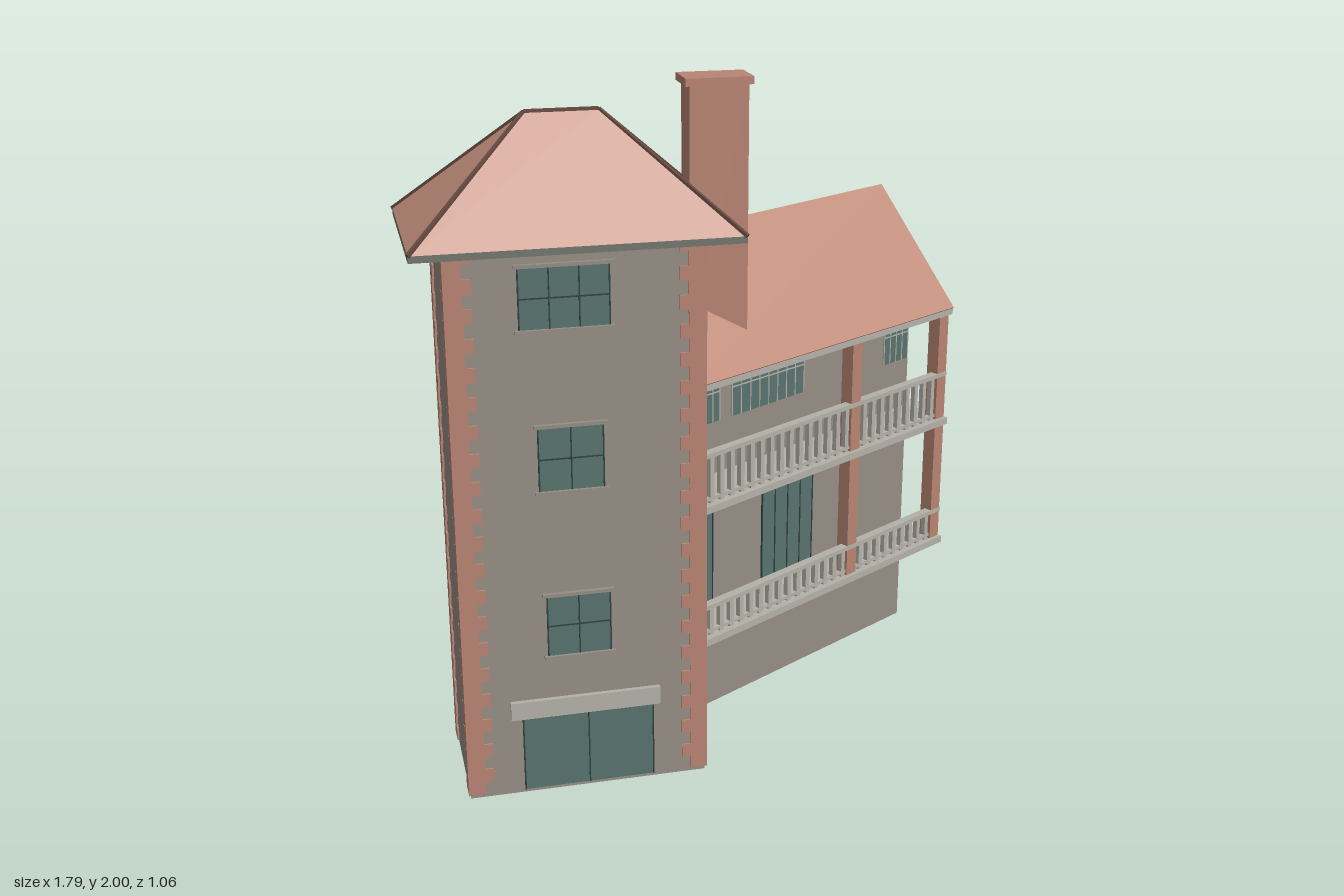
import * as THREE from 'three';

const mat = (name, color, side = THREE.FrontSide) => {
  const m = new THREE.MeshStandardMaterial({ color, side });
  m.name = name;
  return m;
};

export function createModel() {
  const stone = mat('stone wall', 0x968e86);
  const tile = mat('roof tile', 0xbf8c79);
  const brick = mat('brick', 0xb88473);
  const pale = mat('pale concrete', 0xb4b1a8);
  const glass = mat('teal glass', 0x57736e);
  const dark = mat('dark frame', 0x30413e);
  const hipMat = mat('hip trim', 0x664a40);
  const eave = mat('eave grey', 0x72756e);

  const model = new THREE.Group();
  model.name = 'towerHouse';

  const group = (name, parent = model) => {
    const g = new THREE.Group();
    g.name = name;
    parent.add(g);
    return g;
  };
  // Box given by its minimum and maximum corners
  const box = (parent, name, m, x0, x1, y0, y1, z0, z1) => {
    const mesh = new THREE.Mesh(new THREE.BoxGeometry(x1 - x0, y1 - y0, z1 - z0), m);
    mesh.position.set((x0 + x1) / 2, (y0 + y1) / 2, (z0 + z1) / 2);
    mesh.name = name;
    parent.add(mesh);
    return mesh;
  };
  // Square bar between two points
  const bar = (parent, name, m, a, b, w) => {
    const mesh = new THREE.Mesh(new THREE.BoxGeometry(w, w, a.distanceTo(b)), m);
    mesh.position.copy(a).lerp(b, 0.5);
    mesh.lookAt(b);
    mesh.name = name;
    parent.add(mesh);
  };
  // Pane through a wall lying between zBack and zFront, with bars on both faces
  const paneWindow = (parent, name, x0, x1, y0, y1, zBack, zFront, cols, rows, barMat) => {
    const g = group(name, parent);
    const e = 0.003, t = 0.004;
    box(g, 'pane', glass, x0, x1, y0, y1, zBack - e, zFront + e);
    const zb = zBack - e * 1.6, zf = zFront + e * 1.6;
    for (let i = 0; i <= cols; i++) {
      const x = x0 + (x1 - x0) * i / cols;
      box(g, 'mullion', barMat, x - t / 2, x + t / 2, y0, y1, zb, zf);
    }
    for (let j = 1; j < rows; j++) {
      const y = y0 + (y1 - y0) * j / rows;
      box(g, 'transom', barMat, x0, x1, y - t / 2, y + t / 2, zb, zf);
    }
    return g;
  };

  // ---- Tower: hollow shell, open at the bottom ----
  const X0 = -0.8, X1 = -0.105, Z0 = 0.06, Z1 = 0.43, TOP = 1.635, T = 0.01;
  const tower = group('tower');
  box(tower, 'frontWall', stone, X0, X1, 0, TOP, Z1 - T, Z1);
  box(tower, 'backWall', stone, X0, X1, 0, TOP, Z0, Z0 + T);
  box(tower, 'sideWall', stone, X0, X0 + T, 0, TOP, Z0 + T, Z1 - T);
  box(tower, 'sideWall', stone, X1 - T, X1, 0, TOP, Z0 + T, Z1 - T);

  // Toothed corner stones, alternating long and short
  const quoins = group('cornerStones', tower);
  const ROWS = 40, rowH = (TOP - 0.012) / ROWS, out = 0.006;
  for (const sx of [-1, 1]) for (const sz of [-1, 1]) {
    const cx = sx < 0 ? X0 - out : X1 + out, cz = sz < 0 ? Z0 - out : Z1 + out;
    for (let i = 0; i < ROWS; i++) {
      const lx = i % 2 ? 0.075 : 0.05, lz = i % 2 ? 0.04 : 0.062;
      const ex = cx - sx * lx, ez = cz - sz * lz, y = 0.012 + i * rowH;
      // two plates wrapping the corner
      box(quoins, 'cornerStone', brick, Math.min(cx, ex), Math.max(cx, ex), y, y + rowH,
        Math.min(cz, cz - sz * T), Math.max(cz, cz - sz * T));
      box(quoins, 'cornerStone', brick, Math.min(cx, cx - sx * T), Math.max(cx, cx - sx * T), y, y + rowH,
        Math.min(ez, cz - sz * T), Math.max(ez, cz - sz * T));
    }
  }

  // Tower windows with head and sill ledges: [x0, x1, y0, y1, columns]
  const ledge = (g, x0, x1, y, zA, zB) => box(g, 'ledge', stone, x0 - 0.012, x1 + 0.012, y - 0.005, y + 0.005, zA, zB);
  for (const [x0, x1, y0, y1, c] of [
    [-0.61, -0.365, 1.4, 1.58, 3], [-0.57, -0.39, 0.935, 1.13, 2], [-0.56, -0.38, 0.43, 0.625, 2]]) {
    const g = paneWindow(tower, 'frontWindow', x0, x1, y0, y1, Z1 - T, Z1, c, 2, dark);
    for (const y of [y0, y1]) ledge(g, x0, x1, y, Z1, Z1 + 0.012);
  }
  for (const [y0, y1] of [[1.44, 1.59], [1.13, 1.29], [0.75, 0.91]]) {
    const g = paneWindow(tower, 'backWindow', -0.565, -0.375, y0, y1, Z0, Z0 + T, 2, 2, dark);
    for (const y of [y0, y1]) ledge(g, -0.565, -0.375, y, Z0 - 0.012, Z0);
  }
  // Entrance
  paneWindow(tower, 'door', -0.64, -0.26, 0.01, 0.245, Z1 - T, Z1, 2, 1, dark);
  box(tower, 'doorLintel', pale, -0.675, -0.24, 0.245, 0.3, Z1, Z1 + 0.014);

  // ---- Tower hip roof ----
  const roof = group('towerRoof');
  const RX = -0.4525, RZ = 0.2475, hw = 0.4425, hd = 0.2725, ridge = 0.1, EY = 1.647, RY = 1.95;
  box(roof, 'eaves', eave, RX - hw, RX + hw, 1.628, EY, RZ - hd, RZ + hd);
  const hip = new THREE.BoxGeometry(2 * hw, RY - EY, 2 * hd);
  const p = hip.attributes.position;
  for (let i = 0; i < p.count; i++) {
    if (p.getY(i) > 0) {
      p.setX(i, Math.sign(p.getX(i)) * ridge);
      p.setZ(i, Math.sign(p.getZ(i)) * 0.004);
    }
  }
  hip.computeVertexNormals();
  const hipMesh = new THREE.Mesh(hip, tile);
  hipMesh.name = 'hipRoof';
  hipMesh.position.set(RX, (EY + RY) / 2, RZ);
  roof.add(hipMesh);
  const ends = [-1, 1].map(s => new THREE.Vector3(RX + s * ridge, RY, RZ));
  bar(roof, 'ridgeCap', hipMat, ends[0], ends[1], 0.012);
  [-1, 1].forEach((sx, k) => {
    for (const sz of [-1, 1])
      bar(roof, 'hipCap', hipMat, new THREE.Vector3(RX + sx * hw, EY, RZ + sz * hd), ends[k], 0.011);
  });

  // ---- Chimney ----
  const chimney = group('chimney');
  box(chimney, 'chimneyShaft', brick, -0.072, 0.1, 1.16, 1.98, 0.012, 0.115);
  box(chimney, 'chimneyCap', brick, -0.085, 0.112, 1.978, 2, 0, 0.125);

  // ---- Wing, turned 30 degrees; its origin is the far end of the wall ----
  const wing = group('wing');
  wing.position.set(0.8, 0, -0.405);
  wing.rotation.y = Math.PI / 6;
  const L = -1.18, W = -0.02;
  box(wing, 'wingWall', stone, -1.06, 0, 0, 1.15, W, 0);
  for (const y of [0.346, 0.776, 1.156])
    box(wing, 'floorSlab', pale, L, 0, y - 0.011, y + 0.011, -0.11, 0.18);

  // Single sloping roof sheet
  const rise = 0.355, run = 0.325;
  const sheet = new THREE.Mesh(new THREE.BoxGeometry(-L, 0.01, Math.hypot(rise, run)), tile);
  sheet.name = 'wingRoof';
  sheet.position.set(L / 2, 1.165 + rise / 2, 0.0175);
  sheet.rotation.x = Math.atan2(rise, run);
  wing.add(sheet);

  // Wing windows
  for (const [x0, x1, c] of [[-1.035, -0.883, 5], [-0.831, -0.514, 8], [-0.127, -0.008, 4]])
    paneWindow(wing, 'upperWindow', x0, x1, 0.955, 1.142, W, 0, c, 2, pale);
  for (const [x0, x1, c] of [[-1.035, -0.912, 2], [-0.693, -0.462, 4]])
    paneWindow(wing, 'lowerWindow', x0, x1, 0.36, 0.7, W, 0, c, 1, dark);

  // Balcony posts
  for (const x of [-1.13, -0.445, -0.024])
    box(wing, 'post', brick, x - 0.022, x + 0.022, 0.355, 1.147, 0.122, 0.166);

  // Balcony railings
  for (const [y0, y1] of [[0.357, 0.46], [0.787, 0.946]]) {
    const rail = group('railing', wing);
    box(rail, 'topRail', pale, L + 0.01, 0, y1 - 0.014, y1, 0.14, 0.168);
    box(rail, 'bottomRail', pale, L + 0.01, 0, y0 + 0.008, y0 + 0.018, 0.146, 0.162);
    const n = 28;
    for (let i = 0; i < n; i++) {
      const x = L + 0.03 + (-L - 0.05) * i / (n - 1);
      box(rail, 'baluster', pale, x - 0.008, x + 0.008, y0, y1 - 0.012, 0.146, 0.162);
    }
  }
  return model;
}
